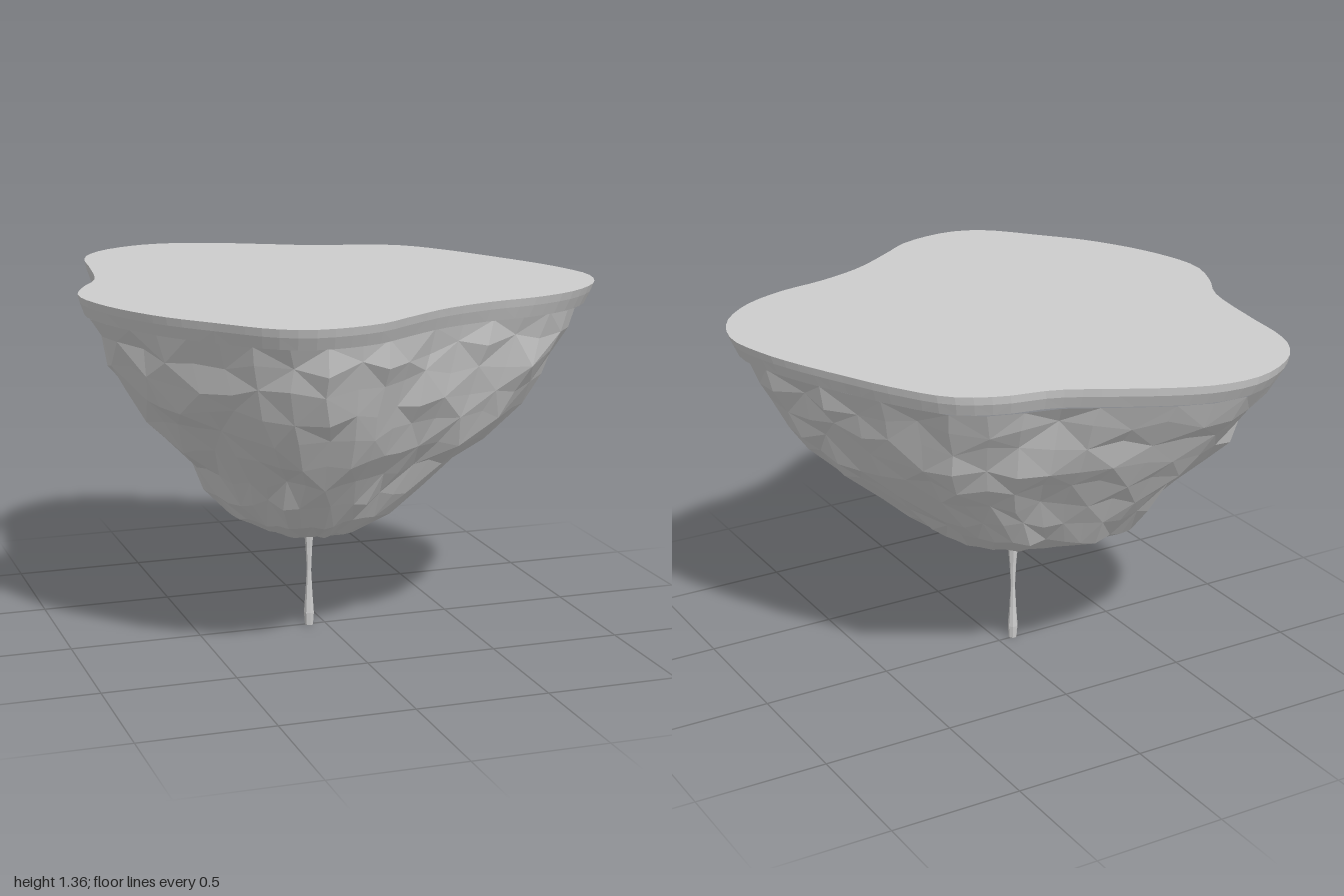
import * as THREE from 'three';

// Island outline seen from above: [x, z], anticlockwise from the front
const OUTLINE = [
  [-0.3, 1.0], [-0.12, 0.96], [0.02, 0.87], [0.2, 0.76], [0.4, 0.69], [0.6, 0.65],
  [0.78, 0.57], [0.92, 0.43], [0.98, 0.25], [0.95, 0.08], [0.9, -0.06], [0.8, -0.27],
  [0.7, -0.46], [0.57, -0.64], [0.42, -0.72], [0.23, -0.76], [0.05, -0.85], [-0.15, -0.95],
  [-0.3, -1.0], [-0.47, -1.0], [-0.65, -0.91], [-0.74, -0.8], [-0.78, -0.68], [-0.8, -0.5],
  [-0.85, -0.2], [-0.93, -0.05], [-0.98, 0.12], [-0.93, 0.35], [-0.8, 0.6], [-0.65, 0.78],
  [-0.5, 0.94], [-0.4, 0.99],
];

// Rock cross-sections: [y, xMin, xMax, zMin, zMax, roundness]
const SECTIONS = [
  [1.275, -0.95, 0.93, -0.965, 0.92, 0],
  [1.19, -0.91, 0.89, -0.92, 0.89, 0],
  [1.1, -0.87, 0.845, -0.85, 0.85, 0.05],
  [1.0, -0.82, 0.79, -0.79, 0.8, 0.08],
  [0.9, -0.74, 0.72, -0.72, 0.74, 0.1],
  [0.8, -0.65, 0.61, -0.63, 0.67, 0.15],
  [0.7, -0.55, 0.47, -0.56, 0.58, 0.2],
  [0.6, -0.5, 0.36, -0.48, 0.5, 0.3],
  [0.5, -0.41, 0.25, -0.29, 0.4, 0.5],
  [0.425, -0.26, 0.1, -0.09, 0.26, 0.8],
];
const TIP = [-0.07, 0.385, 0.12];

function seeded(seed) {
  return () => {
    seed = (seed * 16807) % 2147483647;
    return seed / 2147483647;
  };
}

function outlinePoints(count) {
  const curve = new THREE.CatmullRomCurve3(
    OUTLINE.map(([x, z]) => new THREE.Vector3(x, 0, z)), true);
  return curve.getSpacedPoints(count).slice(0, count);
}

// Fit the outline into a section's extents, easing towards an ellipse
function ring(points, [y, x0, x1, z0, z1, round]) {
  return points.map((p) => {
    const len = Math.hypot(p.x, p.z);
    const u = THREE.MathUtils.lerp(p.x, p.x / len, round);
    const v = THREE.MathUtils.lerp(p.z, p.z / len, round);
    return [(x0 + x1) / 2 + (u * (x1 - x0)) / 2, y, (z0 + z1) / 2 + (v * (z1 - z0)) / 2];
  });
}

// Faceted skin between rings listed from top to bottom, with optional end points
function skin(rings, { top, tip } = {}) {
  const pos = [];
  const tri = (a, b, c) => pos.push(...a, ...b, ...c);
  const n = rings[0].length;
  for (let i = 0; i < n; i++) {
    const j = (i + 1) % n;
    if (top) tri(top, rings[0][i], rings[0][j]);
    for (let k = 0; k + 1 < rings.length; k++) {
      const u = rings[k], l = rings[k + 1];
      if ((i + k) % 2) {
        tri(l[i], l[j], u[j]);
        tri(l[i], u[j], u[i]);
      } else {
        tri(l[i], l[j], u[i]);
        tri(l[j], u[j], u[i]);
      }
    }
    if (tip) tri(tip, rings.at(-1)[j], rings.at(-1)[i]);
  }
  const geo = new THREE.BufferGeometry();
  geo.setAttribute('position', new THREE.Float32BufferAttribute(pos, 3));
  geo.computeVertexNormals();
  return geo;
}

export function createModel() {
  const group = new THREE.Group();
  const stone = new THREE.MeshStandardMaterial({ color: 0xcccccc });
  stone.name = 'pale grey stone';
  const add = (name, geo) => {
    const mesh = new THREE.Mesh(geo, stone);
    mesh.name = name;
    group.add(mesh);
  };

  // Flat top
  const fine = outlinePoints(96);
  const edge = ring(fine, [1.355, -0.98, 0.98, -1, 1, 0]);
  add('flatTop', skin([edge], { top: [-0.05, 1.355, 0] }));

  // Overhanging lip around the top
  const lipMid = ring(fine, [1.325, -0.972, 0.97, -0.995, 0.99, 0]);
  const lipLow = ring(fine, [1.28, -0.955, 0.95, -0.97, 0.965, 0]);
  const lipInner = ring(fine, [1.272, -0.92, 0.9, -0.93, 0.89, 0]);
  add('rim', skin([edge, lipMid, lipLow, lipInner]));

  // Rough rock underside
  const rand = seeded(71);
  const coarse = outlinePoints(44);
  const rock = SECTIONS.map((s, k) => ring(coarse, s).map(([x, y, z]) => {
    const r = k === 0 ? 0 : 0.045 * (s[2] - s[1]) / 1.9;
    const push = 1 + (rand() - 0.55) * r;
    const lift = k === 0 ? 0 : (rand() - 0.5) * (k > 7 ? 0.015 : 0.05);
    const slip = (rand() - 0.5) * r * 0.6;
    return [x * push - z * slip, y + lift, z * push + x * slip];
  }));
  add('rockUnderside', skin(rock, { tip: TIP }));

  // Thin root hanging below, pinched in the middle
  const profile = [[0, 0], [0.016, 0], [0.02, 0.05], [0.014, 0.13], [0.009, 0.22],
    [0.013, 0.31], [0.02, 0.39], [0.02, 0.43]].map(([r, y]) => new THREE.Vector2(r, y));
  const root = new THREE.LatheGeometry(profile, 7).toNonIndexed();
  root.computeVertexNormals();
  root.translate(-0.065, 0, 0.005);
  add('hangingRoot', root);

  return group;
}
